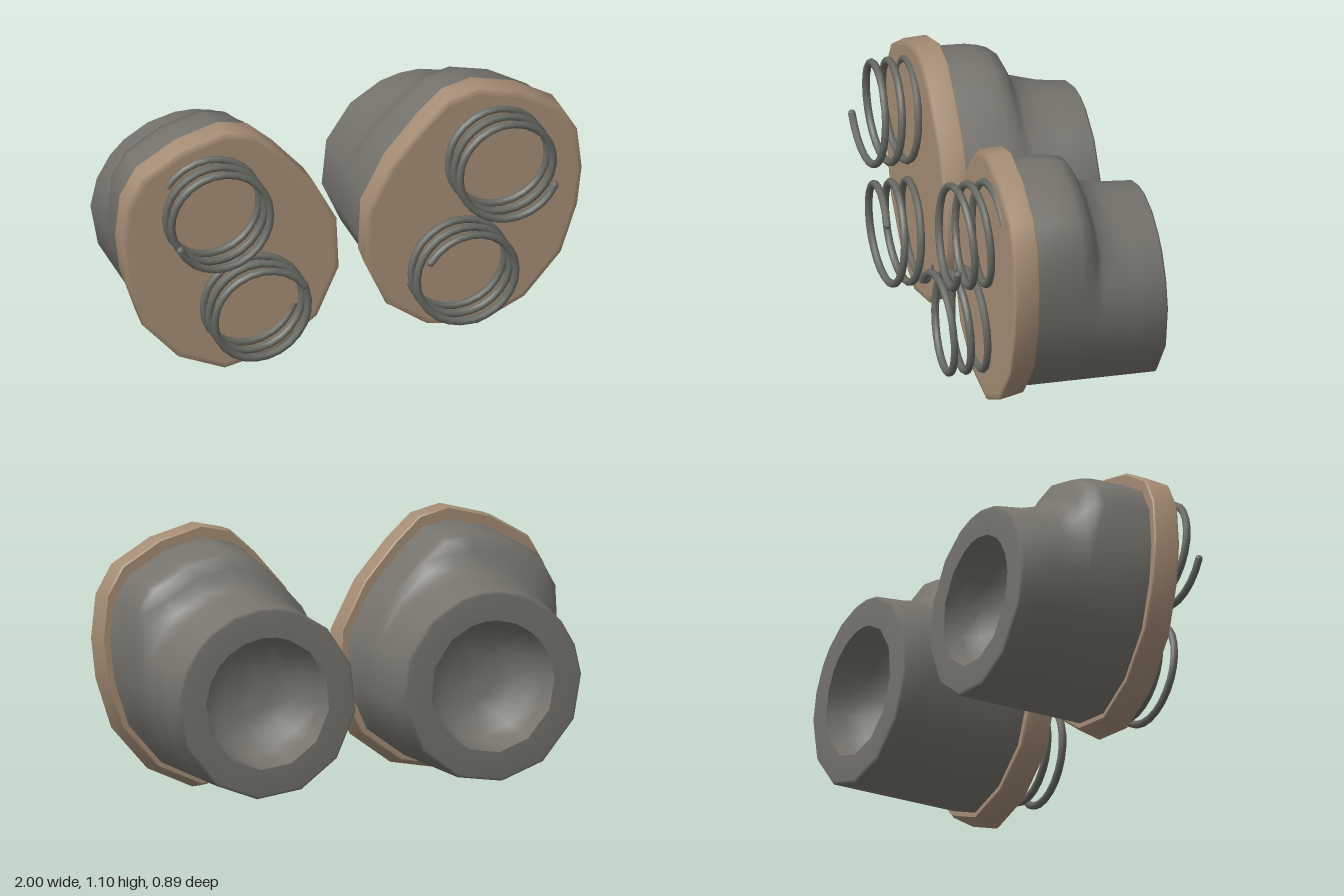
import * as THREE from 'three';

const tan = new THREE.MeshStandardMaterial({ color: 0xa58d75 });
tan.name = 'tan plate';
const grey = new THREE.MeshStandardMaterial({ color: 0x75736c });
grey.name = 'grey housing';
const steel = new THREE.MeshStandardMaterial({ color: 0x676962 });
steel.name = 'dark steel';

// Plate outline of the left unit, clockwise from the top
const OUTLINE = [
  [0.55, 1.10], [0.74, 1.05], [0.91, 0.95], [0.98, 0.83], [1.0, 0.65], [0.98, 0.48],
  [0.91, 0.27], [0.75, 0.09], [0.55, 0.0], [0.33, 0.04], [0.15, 0.17], [0.055, 0.38],
  [0.065, 0.61], [0.17, 0.81], [0.31, 0.97], [0.42, 1.07],
];
const CX = 0.53, CY = 0.55; // plate centre
const BX = 0.5, BY = 0.45;  // barrel centre

// Plate outline scaled about its centre
const plateRing = (k, z, dy = 0) =>
  OUTLINE.map(([x, y]) => [CX + (x - CX) * k, CY + (y - CY) * k + dy, z]);

// Round ring whose corners line up with the plate outline
const roundRing = (r, z) => OUTLINE.map(([x, y]) => {
  const a = Math.atan2(y - BY, x - BX);
  return [BX + r * Math.cos(a), BY + r * Math.sin(a), z];
});

// Skin over rings listed front to back; a repeated ring gives a sharp edge
function loft(rings, side) {
  const n = OUTLINE.length, pos = [], idx = [];
  for (const ring of rings) {
    const pts = side > 0 ? ring : ring.slice().reverse();
    for (const [x, y, z] of pts) pos.push(x * side, y, z);
  }
  for (let i = 0; i < rings.length - 1; i++) {
    for (let j = 0; j < n; j++) {
      const a = i * n + j, b = i * n + (j + 1) % n;
      idx.push(a, b, a + n, b, b + n, a + n);
    }
  }
  const g = new THREE.BufferGeometry();
  g.setAttribute('position', new THREE.Float32BufferAttribute(pos, 3));
  g.setIndex(idx);
  g.computeVertexNormals();
  return g;
}

function plateGeometry(side) {
  const edge = plateRing(0.955, 0.24), back = plateRing(0.97, 0.13, 0.012);
  return loft([
    plateRing(0, 0.24), edge, edge,
    plateRing(0.99, 0.238), plateRing(1, 0.23), plateRing(0.985, 0.138, 0.012),
    back, back, plateRing(0, 0.13),
  ], side);
}

function housingGeometry(side) {
  // z, and how far the upper hump has shrunk to the round barrel
  const stations = [[0.14, 0], [0.06, 0], [-0.02, 0.02], [-0.07, 0.07], [-0.11, 0.14],
    [-0.14, 0.42], [-0.17, 0.72], [-0.24, 0.82], [-0.31, 0.92], [-0.43, 1]];
  const rings = stations.map(([z, hump]) => {
    const straight = (0.14 - z) / 0.57;
    const from = plateRing(0.912, z), to = roundRing(0.397, z);
    return from.map((p, i) => {
      const w = THREE.MathUtils.smoothstep(p[1], 0.6, 0.85);
      const t = THREE.MathUtils.lerp(straight, hump, w);
      return [0, 1, 2].map((c) => THREE.MathUtils.lerp(p[c], to[i][c], t));
    });
  });
  // Bevelled rear rim and the bowl-shaped socket
  const lip = roundRing(0.275, -0.44);
  rings.push(roundRing(0.385, -0.44), lip, lip, roundRing(0.262, -0.37),
    roundRing(0.235, -0.29), roundRing(0.18, -0.235), roundRing(0.1, -0.21), roundRing(0, -0.205));
  return loft(rings, side);
}

// Coil running from its free front end back into the plate
class Coil extends THREE.Curve {
  constructor(x, y, startDeg, side) {
    super();
    Object.assign(this, { x, y, start: THREE.MathUtils.degToRad(startDeg), side });
  }
  getPoint(t, out = new THREE.Vector3()) {
    const turns = 2.85 * t, a = this.start - turns * Math.PI * 2;
    return out.set(this.side * (this.x + 0.209 * Math.cos(a)),
      this.y + 0.209 * Math.sin(a), 0.43 - 0.07 * turns);
  }
}

function makeSpring(name, x, y, startDeg, side) {
  const group = new THREE.Group();
  group.name = name;
  const curve = new Coil(x, y, startDeg, side);
  const wire = new THREE.Mesh(new THREE.TubeGeometry(curve, 72, 0.016, 8), steel);
  wire.name = 'springWire';
  const tip = new THREE.Mesh(new THREE.SphereGeometry(0.016, 8, 6), steel);
  tip.name = 'springTip';
  tip.position.copy(curve.getPoint(0));
  group.add(wire, tip);
  return group;
}

export function createModel() {
  const model = new THREE.Group();
  model.name = 'springMountedSockets';
  for (const side of [1, -1]) {
    const unit = new THREE.Group();
    unit.name = side > 0 ? 'leftUnit' : 'rightUnit';
    const plate = new THREE.Mesh(plateGeometry(side), tan);
    plate.name = 'frontPlate';
    const housing = new THREE.Mesh(housingGeometry(side), grey);
    housing.name = 'socketHousing';
    unit.add(plate, housing,
      makeSpring('upperSpring', 0.62, 0.785, -23, side),
      makeSpring('lowerSpring', 0.445, 0.32, 145, side));
    model.add(unit);
  }
  return model;
}
